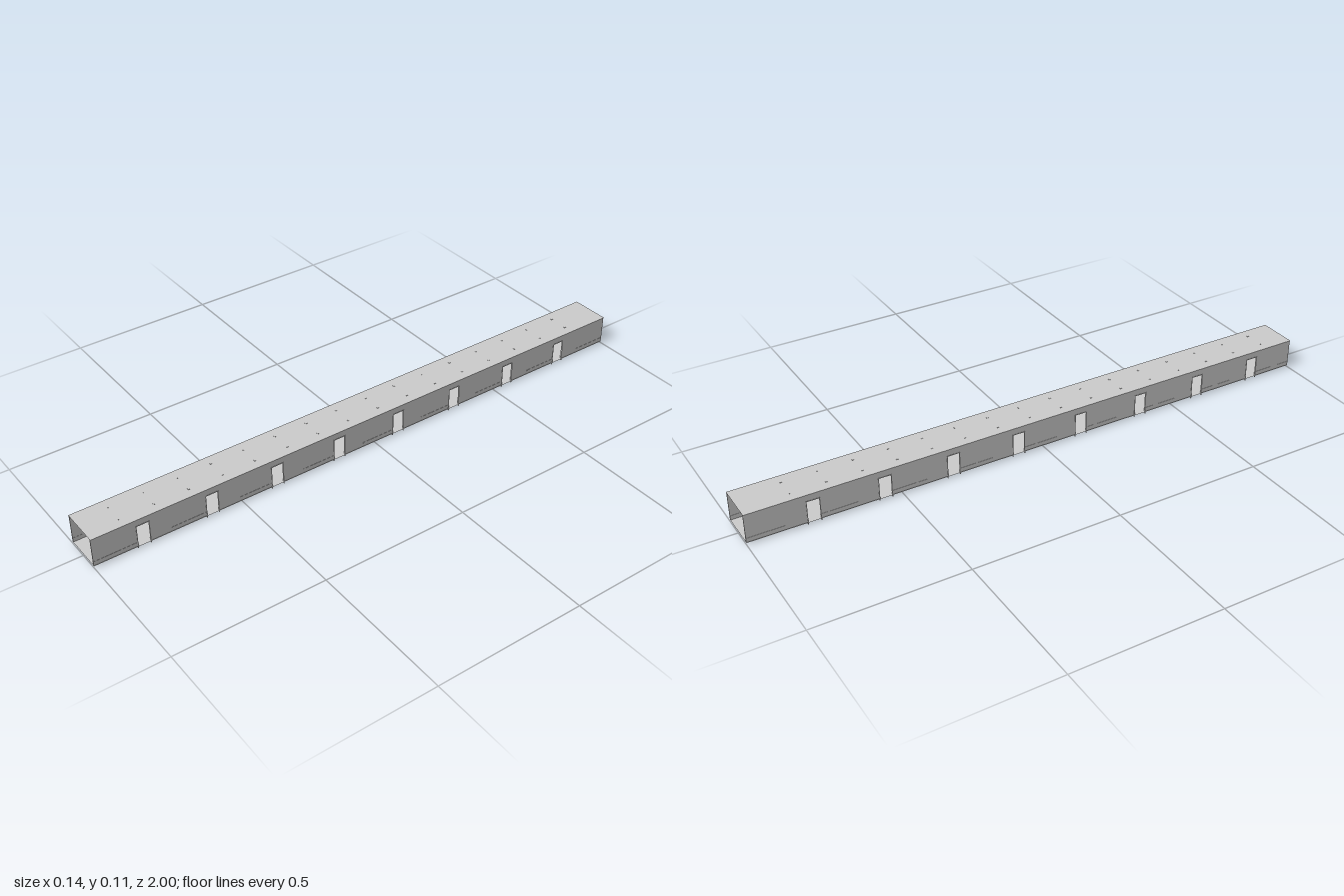
import * as THREE from 'three';

const HALF_W = 0.068, WALL_X = 0.064, FLOOR_Y = 0.007, TOP_Y = 0.104;
const DOOR_W = 0.043, DOOR_TOP = 0.08, DOOR_COUNT = 8, DOOR_STEP = 0.2317;
const doorZs = Array.from({ length: DOOR_COUNT }, (_, i) => 0.835 - i * DOOR_STEP);

export function createModel() {
  const model = new THREE.Group();
  const mat = new THREE.MeshStandardMaterial({ color: 0xcccccc, side: THREE.DoubleSide });

  function add(parent, name, geometry, x = 0, y = 0, z = 0) {
    const mesh = new THREE.Mesh(geometry, mat);
    mesh.name = name;
    mesh.position.set(x, y, z);
    parent.add(mesh);
    return mesh;
  }
  const box = (parent, name, w, h, d, x, y, z) =>
    add(parent, name, new THREE.BoxGeometry(w, h, d), x, y, z);

  // Thin floor and ceiling sheets, open at both ends
  for (const [name, y] of [['floor', FLOOR_Y], ['ceiling', TOP_Y]]) {
    add(model, name, new THREE.PlaneGeometry(HALF_W * 2, 2).rotateX(-Math.PI / 2), 0, y, 0);
  }

  // Wall outline along z, notched by the doorways
  function wallGeometry() {
    const s = new THREE.Shape();
    s.moveTo(-1, TOP_Y);
    s.lineTo(-1, FLOOR_Y);
    for (const z of [...doorZs].reverse()) {
      const a = z - DOOR_W / 2, b = z + DOOR_W / 2;
      s.lineTo(a, FLOOR_Y);
      s.lineTo(a, DOOR_TOP);
      s.lineTo(b, DOOR_TOP);
      s.lineTo(b, FLOOR_Y);
    }
    s.lineTo(1, FLOOR_Y);
    s.lineTo(1, TOP_Y);
    const g = new THREE.ExtrudeGeometry(s, { depth: 0.003, bevelEnabled: false });
    return g.translate(0, 0, -0.0015).rotateY(-Math.PI / 2);
  }

  for (const side of [1, -1]) {
    const wall = new THREE.Group();
    wall.name = side > 0 ? 'leftWall' : 'rightWall';
    model.add(wall);
    const x = side * WALL_X;
    add(wall, 'wallPanel', wallGeometry(), x);

    // Trim along the top edge
    box(wall, 'crownTrim', 0.007, 0.002, 2, x, TOP_Y - 0.0012, 0);

    // Skirting strips between the doorways
    const starts = [1, ...doorZs.map(z => z - 0.092)];
    const ends = [...doorZs.map(z => z + DOOR_W / 2), -1];
    starts.forEach((a, i) =>
      box(wall, 'skirting', 0.0045, 0.004, a - ends[i], x, 0.02, (a + ends[i]) / 2));

    for (const z of doorZs) {
      // Door frame with feet reaching below the floor
      const frame = new THREE.Group();
      frame.name = 'doorFrame';
      wall.add(frame);
      for (const e of [-1, 1]) {
        box(frame, 'jamb', 0.005, DOOR_TOP, 0.002, x, DOOR_TOP / 2, z + e * DOOR_W / 2);
      }
      box(frame, 'lintel', 0.005, 0.002, DOOR_W + 0.002, x, DOOR_TOP, z);
      // Small plate beside the doorway, on the inside
      box(wall, 'wallPlate', 0.0015, 0.012, 0.007, x - side * 0.002, 0.07, z - 0.032);
      // Ceiling spots
      for (const e of [-1, 1]) {
        box(model, 'ceilingSpot', 0.006, 0.0015, 0.006, side * 0.033, TOP_Y + 0.0003, z + e * 0.058);
      }
    }
  }
  return model;
}
